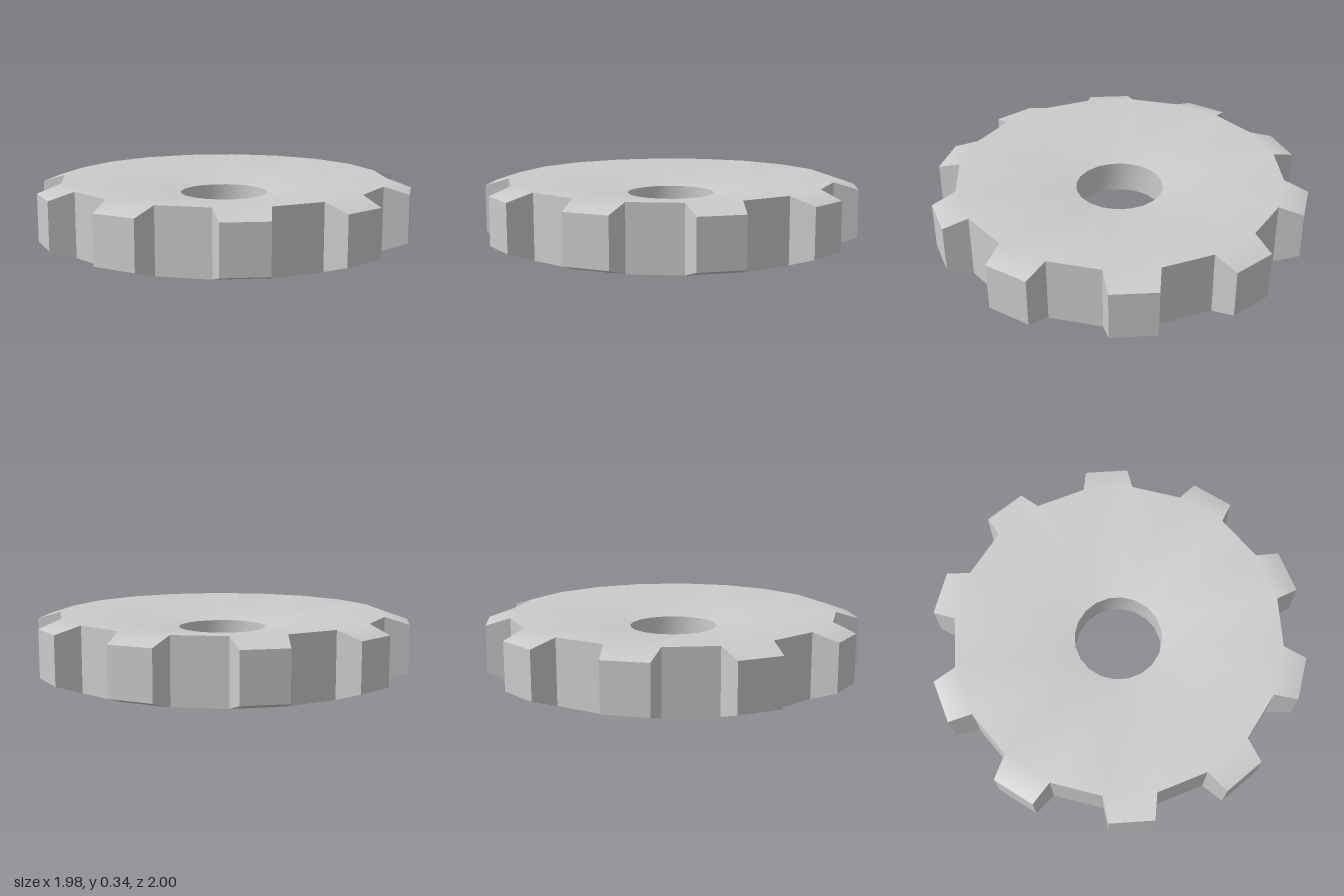
import * as THREE from 'three';
import { toCreasedNormals } from 'three/addons/utils/BufferGeometryUtils.js';

const TEETH = 10;
const STEP = Math.PI / TEETH; // one tooth or one gap
const TURN = THREE.MathUtils.degToRad(2.75);
const ROOT_HALF = STEP / 2;
const TIP_HALF = THREE.MathUtils.degToRad(6.75);

// Point on the gear, angle measured clockwise from the back as seen from above
const point = (radius, y, angle) => [radius * Math.sin(angle), y, -0.003 - radius * Math.cos(angle)];

// Cross-section from the bore over the dished top, round the rim and back underneath
function section(center, side, isTooth) {
  const root = center + side * ROOT_HALF;
  const tip = center + side * TIP_HALF;
  return [
    point(0.235, 0.086, root),
    point(0.235, 0.257, root),
    point(0.873, 0.34, root),
    ...(isTooth ? [point(1.001, 0.298, tip), point(1.001, 0.045, tip)] : []),
    point(0.873, 0.003, root),
  ];
}

function gearGeometry() {
  const positions = [];
  const quad = (a, b, c, d) => positions.push(...a, ...b, ...c, ...a, ...c, ...d);

  for (let i = 0; i < TEETH * 2; i++) {
    const isTooth = i % 2 === 0;
    const center = TURN + i * STEP;
    const a = section(center, -1, isTooth);
    const b = section(center, 1, isTooth);
    // bore, top, rim and bottom of this sector
    for (let j = 0; j < a.length; j++) {
      const k = (j + 1) % a.length;
      quad(b[k], a[k], a[j], b[j]);
    }
    // tooth flanks
    if (isTooth) {
      quad(a[2], a[3], a[4], a[5]);
      quad(b[5], b[4], b[3], b[2]);
    }
  }

  const geometry = new THREE.BufferGeometry();
  geometry.setAttribute('position', new THREE.Float32BufferAttribute(positions, 3));
  return toCreasedNormals(geometry, THREE.MathUtils.degToRad(30));
}

export function createModel() {
  const group = new THREE.Group();
  group.name = 'gear';
  const wheel = new THREE.Mesh(gearGeometry(), new THREE.MeshStandardMaterial({ color: 0xcccccc }));
  wheel.name = 'gearWheel';
  group.add(wheel);
  return group;
}
